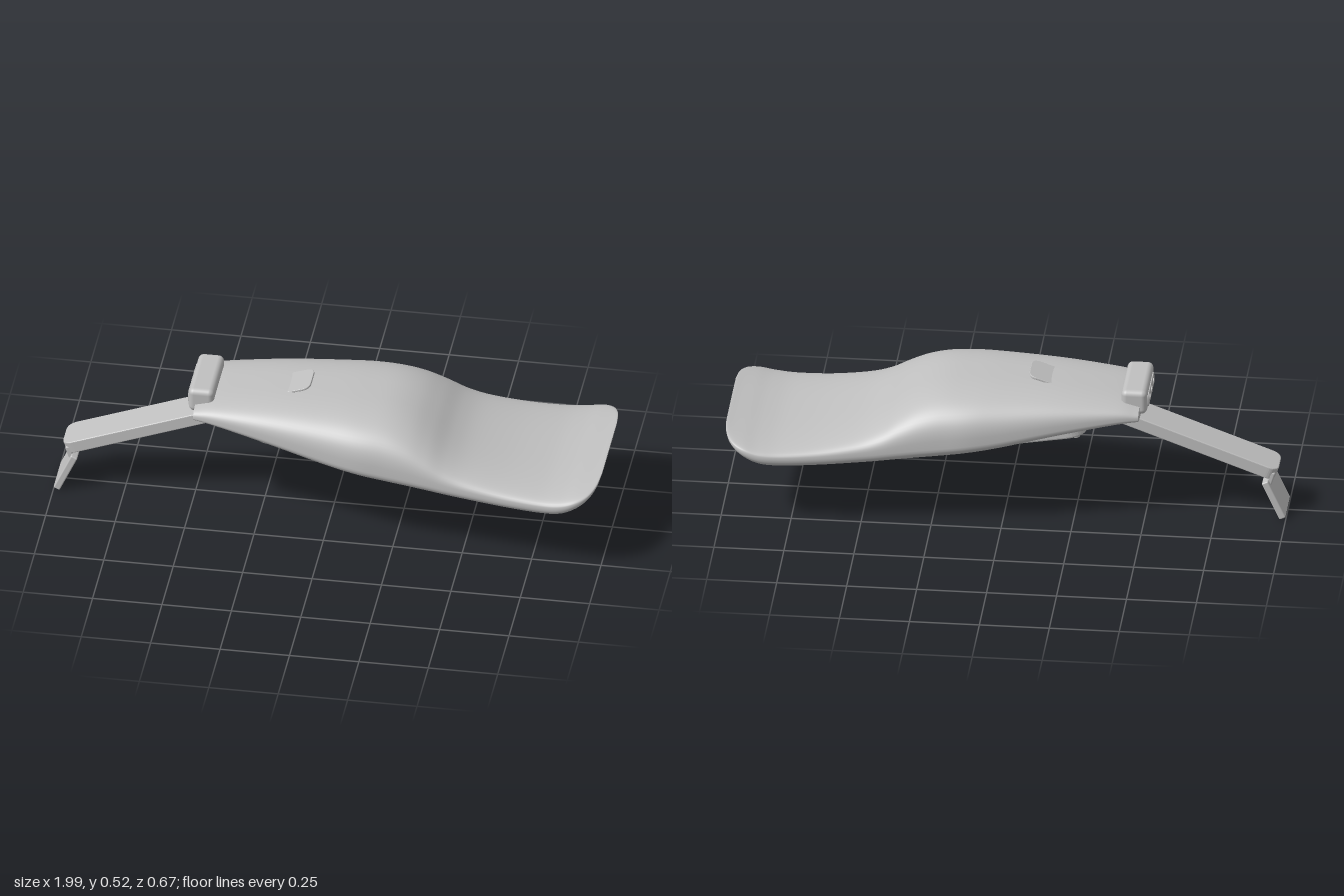
import * as THREE from 'three';
import { RoundedBoxGeometry } from 'three/addons/geometries/RoundedBoxGeometry.js';

const grey = new THREE.MeshStandardMaterial({ color: 0xc0c0c0 });
grey.name = 'light grey';

function add(parent, name, geometry, x, y, z = 0, tilt = 0) {
  const mesh = new THREE.Mesh(geometry, grey);
  mesh.name = name;
  mesh.position.set(x, y, z);
  mesh.rotation.z = tilt;
  parent.add(mesh);
  return mesh;
}

// Horizontal slab with rounded plan corners, centred on its origin
function slab(length, width, height, r, bevel = 0.004) {
  const a = length / 2 - bevel, b = width / 2 - bevel, s = new THREE.Shape();
  s.moveTo(-a + r, -b);
  s.lineTo(a - r, -b).quadraticCurveTo(a, -b, a, -b + r);
  s.lineTo(a, b - r).quadraticCurveTo(a, b, a - r, b);
  s.lineTo(-a + r, b).quadraticCurveTo(-a, b, -a, b - r);
  s.lineTo(-a, -b + r).quadraticCurveTo(-a, -b, -a + r, -b);
  const g = new THREE.ExtrudeGeometry(s, {
    depth: height - 2 * bevel, bevelThickness: bevel, bevelSize: bevel, bevelSegments: 3, curveSegments: 10,
  });
  g.translate(0, 0, -(height - 2 * bevel) / 2);
  return g.rotateX(-Math.PI / 2);
}

// Smooth body lofted along x: [x, top, bottom, half width, height share of the widest line]
function bodyGeometry() {
  const rows = [
    [-0.482, 0.455, 0.395, 0.172, 0.4], [-0.4, 0.474, 0.38, 0.19, 0.38], [-0.2, 0.495, 0.338, 0.23, 0.33],
    [0, 0.504, 0.291, 0.266, 0.3], [0.12, 0.504, 0.268, 0.285, 0.3], [0.22, 0.497, 0.253, 0.29, 0.3],
    [0.3, 0.475, 0.243, 0.294, 0.32], [0.37, 0.438, 0.235, 0.298, 0.36], [0.44, 0.392, 0.227, 0.302, 0.43],
    [0.52, 0.359, 0.219, 0.307, 0.5], [0.65, 0.331, 0.209, 0.317, 0.56], [0.78, 0.318, 0.204, 0.328, 0.6],
    [0.86, 0.321, 0.212, 0.333, 0.6], [0.92, 0.33, 0.244, 0.324, 0.6], [0.96, 0.336, 0.284, 0.293, 0.55],
    [0.982, 0.34, 0.315, 0.24, 0.5], [0.99, 0.341, 0.333, 0.17, 0.5],
  ];
  const curve = (f) => new THREE.CatmullRomCurve3(rows.map(f), false, 'catmullrom', 0.5);
  const profile = curve((r) => new THREE.Vector3(r[0], r[1], r[2]));
  const section = curve((r) => new THREE.Vector3(r[3], r[4], 0));
  const N = 96, M = 72, pos = [], idx = [];
  const soft = (v, e) => Math.sign(v) * Math.pow(Math.abs(v), 2 / e);
  for (let i = 0; i <= N; i++) {
    const p = profile.getPoint(i / N), s = section.getPoint(i / N);
    const mid = p.z + (p.y - p.z) * s.y;
    for (let j = 0; j < M; j++) {
      const a = (j / M) * Math.PI * 2, up = Math.sin(a) >= 0, e = up ? 2.9 : 2.4;
      pos.push(p.x, mid + soft(Math.sin(a), e) * (up ? p.y - mid : mid - p.z), s.x * soft(Math.cos(a), e));
    }
  }
  for (let i = 0; i < N; i++) for (let j = 0; j < M; j++) {
    const k = (j + 1) % M, a = i * M + j, b = (i + 1) * M + j, c = (i + 1) * M + k, d = i * M + k;
    idx.push(a, b, c, a, c, d);
  }
  // Flat end caps with their own vertices
  for (const i of [0, N]) {
    const base = pos.length / 3;
    for (let j = 0; j < M; j++) pos.push(...pos.slice((i * M + j) * 3, (i * M + j) * 3 + 3));
    const p = profile.getPoint(i / N);
    pos.push(p.x, (p.y + p.z) / 2, 0);
    for (let j = 0; j < M; j++) {
      const k = (j + 1) % M;
      idx.push(base + M, base + (i ? k : j), base + (i ? j : k));
    }
  }
  const g = new THREE.BufferGeometry();
  g.setAttribute('position', new THREE.Float32BufferAttribute(pos, 3));
  g.setIndex(idx);
  g.computeVertexNormals();
  return g;
}

export function createModel() {
  const model = new THREE.Group();
  model.name = 'contouredPaddle';
  add(model, 'body', bodyGeometry(), 0, 0);

  // Clip block over the narrow end, with a raised panel and buttons
  add(model, 'endBlock', new RoundedBoxGeometry(0.092, 0.092, 0.252, 4, 0.02), -0.462, 0.462);
  const panel = add(model, 'endPanel', slab(0.05, 0.2, 0.008, 0.02, 0.002), -0.508, 0.458);
  panel.rotation.z = Math.PI / 2;
  for (const z of [-0.06, 0, 0.06]) {
    const button = new THREE.CylinderGeometry(0.012, 0.012, 0.006, 20).rotateZ(Math.PI / 2);
    add(model, 'endButton', button, -0.512, 0.458, z);
  }

  // Small tab lifting out of the top
  add(model, 'topTab', slab(0.13, 0.13, 0.008, 0.03, 0.002), -0.141, 0.499, 0, 0.32);

  // Plate with four screws on the underside
  const plate = new THREE.Group();
  plate.name = 'mountingPlate';
  plate.position.set(-0.115, 0.307, 0);
  plate.rotation.z = -0.165;
  model.add(plate);
  add(plate, 'plate', slab(0.355, 0.26, 0.034, 0.07, 0.007), 0, 0);
  for (const x of [-0.135, 0.135]) for (const z of [-0.085, 0.085]) {
    const screw = new THREE.CylinderGeometry(0.016, 0.012, 0.016, 20);
    add(plate, 'screw', screw, x, -0.023, z);
  }

  // Sloping arm, hinge and foot
  add(model, 'arm', slab(0.667, 0.137, 0.046, 0.035), -0.652, 0.284, 0, 0.356);
  add(model, 'hinge', new RoundedBoxGeometry(0.02, 0.05, 0.13, 3, 0.006), -0.945, 0.155, 0, 0.3);
  add(model, 'foot', new RoundedBoxGeometry(0.025, 0.155, 0.164, 3, 0.005), -0.957, 0.076, 0, -0.43);
  return model;
}
